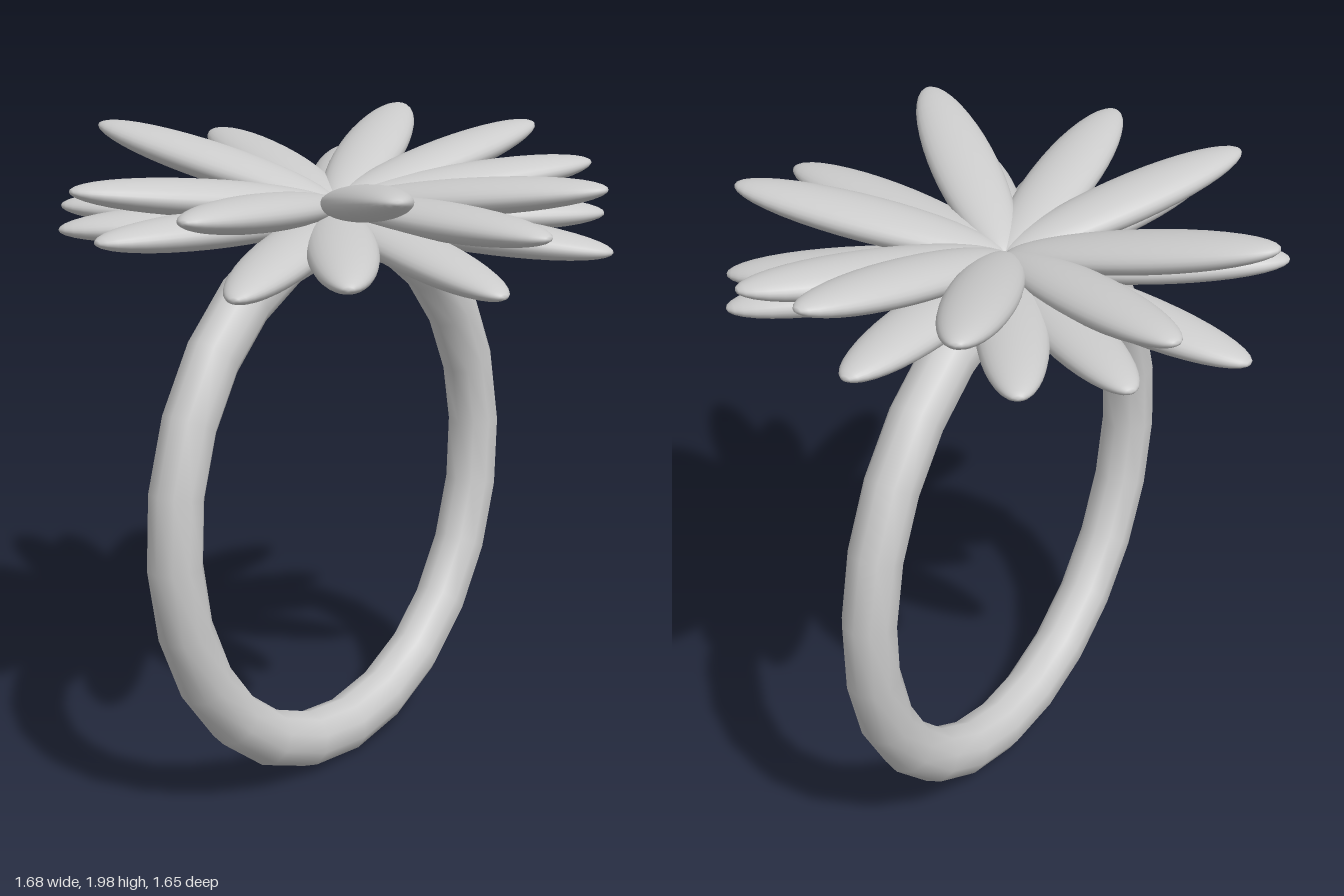
import * as THREE from 'three';

export function createModel() {
  const model = new THREE.Group();
  const material = new THREE.MeshStandardMaterial({ color: 0xcccccc });

  // Band: slightly tall, slightly tilted low-segment torus
  const bandGeometry = new THREE.TorusGeometry(0.755, 0.083, 10, 24);
  bandGeometry.rotateZ(0.05).scale(1, 1.07, 1).rotateX(-0.018);
  const band = new THREE.Mesh(bandGeometry, material);
  band.name = 'band';
  band.position.set(0, 0.905, -0.018);
  model.add(band);

  // Petals: flattened ellipsoids running from the flower centre to each tip
  const petalGeometry = new THREE.SphereGeometry(1, 28, 20).rotateX(Math.PI / 2);
  function addLayer(name, rootY, tips) {
    const layer = new THREE.Group();
    layer.name = name;
    const root = new THREE.Vector3(0, rootY, -0.01);
    tips.forEach(([x, y, z], i) => {
      const tip = new THREE.Vector3(x, y, z);
      const petal = new THREE.Mesh(petalGeometry, material);
      petal.name = `${name}Petal${i + 1}`;
      petal.position.copy(root).lerp(tip, 0.5);
      petal.lookAt(tip);
      petal.scale.set(0.105, 0.054, root.distanceTo(tip) / 2);
      layer.add(petal);
    });
    model.add(layer);
  }

  addLayer('upper', 1.8, [
    [-0.15, 1.97, -0.82], [0.33, 1.88, -0.76], [0.76, 1.95, -0.33],
    [0.81, 1.94, 0.15], [0.7, 1.87, 0.44], [0.22, 1.91, 0.8],
    [-0.11, 1.83, 0.82], [-0.54, 1.98, 0.61], [-0.84, 1.91, 0.11],
    [-0.77, 1.92, -0.37],
  ]);
  addLayer('lower', 1.77, [
    [0.02, 1.69, -0.83], [0.47, 1.78, -0.7], [0.69, 1.8, -0.48],
    [0.82, 1.78, -0.01], [0.61, 1.74, 0.55], [0.36, 1.69, 0.74],
    [-0.27, 1.69, 0.78], [-0.65, 1.75, 0.53], [-0.81, 1.71, 0.26],
    [-0.82, 1.8, -0.23], [-0.57, 1.74, -0.61], [-0.45, 1.78, -0.71],
  ]);

  return model;
}
